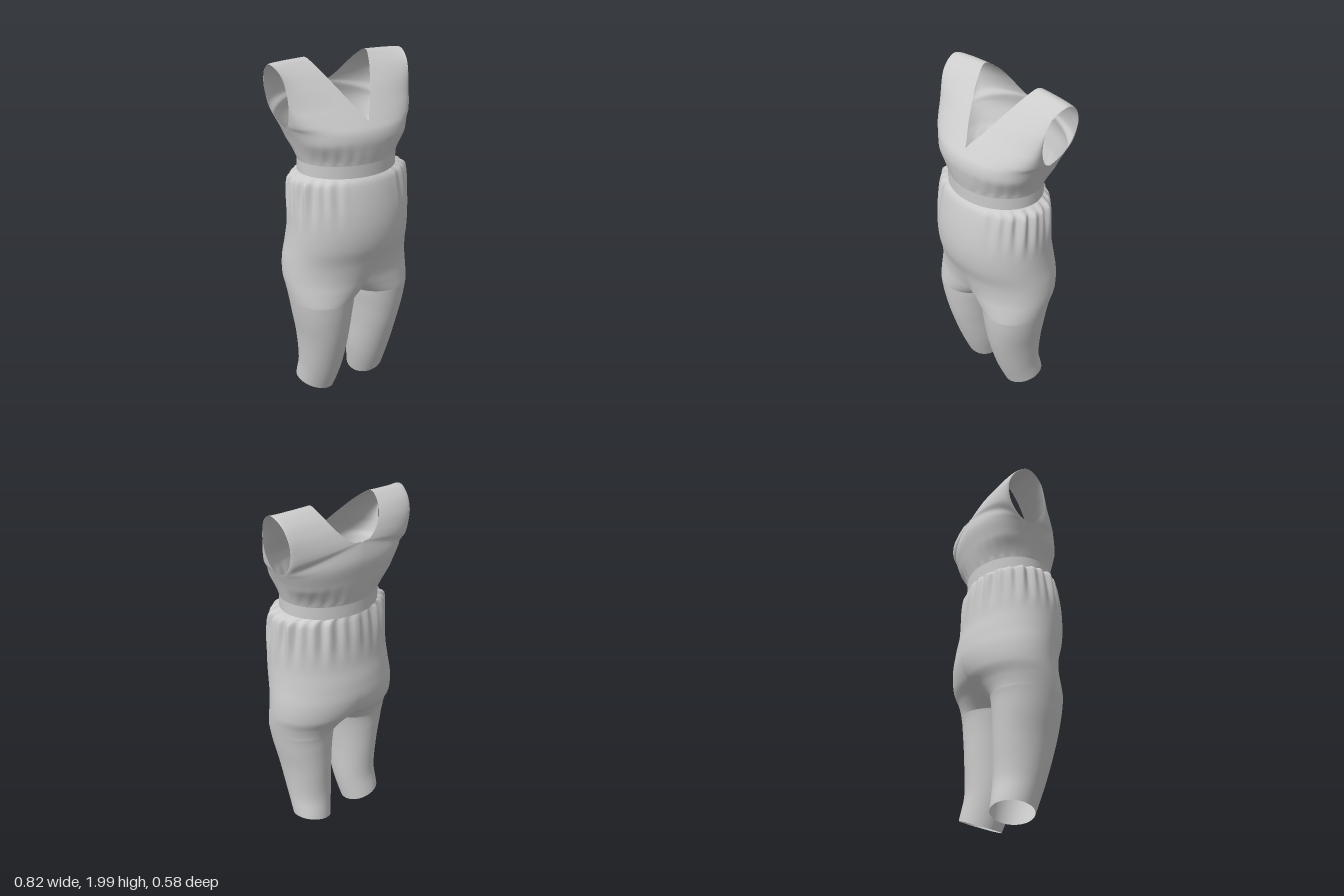
import * as THREE from 'three';
import { mergeVertices } from 'three/addons/utils/BufferGeometryUtils.js';

const V = (x, y, z) => new THREE.Vector3(x, y, z);
const { lerp, clamp, smoothstep: step } = THREE.MathUtils;
const material = new THREE.MeshStandardMaterial({ color: 0xcccccc, side: THREE.DoubleSide });

// Grid of points for the +x half, mirrored to -x and welded into one smooth surface
function mirroredSurface(name, rows, cols, point) {
  const pos = [], index = [];
  for (const side of [1, -1]) {
    const base = pos.length / 3;
    for (let i = 0; i <= rows; i++) {
      for (let j = 0; j <= cols; j++) {
        const p = point(i / rows, j / cols);
        pos.push(side * Math.max(0, p.x), p.y, p.z);
      }
    }
    for (let i = 0; i < rows; i++) {
      for (let j = 0; j < cols; j++) {
        const a = base + i * (cols + 1) + j, b = a + 1, c = a + cols + 1, d = c + 1;
        if (side > 0) index.push(a, b, d, a, d, c);
        else index.push(a, d, b, a, c, d);
      }
    }
  }
  let geo = new THREE.BufferGeometry();
  geo.setAttribute('position', new THREE.Float32BufferAttribute(pos, 3));
  geo.setIndex(index);
  geo = mergeVertices(geo, 1e-4);
  geo.computeVertexNormals();
  const mesh = new THREE.Mesh(geo, material);
  mesh.name = name;
  return mesh;
}

// Smooth lookup in a table of keys sorted by their first column
function sample(keys, y) {
  let k = 0;
  while (k < keys.length - 2 && y > keys[k + 1][0]) k++;
  const A = keys[k], B = keys[k + 1], P = keys[k - 1] || A, N = keys[k + 2] || B;
  const h = B[0] - A[0], t = (y - A[0]) / h;
  return A.slice(1).map((a, n) => {
    const c = n + 1, b = B[c];
    const m0 = (b - P[c]) / (B[0] - P[0]) * h, m1 = (N[c] - a) / (N[0] - A[0]) * h;
    const t2 = t * t, t3 = t2 * t;
    return (2 * t3 - 3 * t2 + 1) * a + (t3 - 2 * t2 + t) * m0 + (3 * t2 - 2 * t3) * b + (t3 - t2) * m1;
  });
}

// Trousers: height, outer x, inner leg x, front z, back z
const CROTCH = 0.66, HEM = 0.038, TOP = 1.405;
const trouserKeys = [
  [0.038, 0.3, 0.075, 0.045, -0.185],
  [0.2, 0.303, 0.043, 0.115, -0.162],
  [0.4, 0.325, 0.03, 0.175, -0.165],
  [0.55, 0.355, 0.016, 0.203, -0.17],
  [0.66, 0.374, 0, 0.214, -0.18],
  [0.73, 0.384, 0, 0.217, -0.21],
  [0.8, 0.39, 0, 0.222, -0.258],
  [0.9, 0.386, 0, 0.245, -0.285],
  [1.0, 0.374, 0, 0.278, -0.28],
  [1.1, 0.366, 0, 0.29, -0.262],
  [1.2, 0.362, 0, 0.285, -0.252],
  [1.3, 0.354, 0, 0.268, -0.243],
  [1.37, 0.344, 0, 0.25, -0.232],
  [1.39, 0.33, 0, 0.24, -0.226],
  [1.405, 0.286, 0, 0.226, -0.222],
];

function trouserPoint(u, v) {
  const y = u < 0.4 ? lerp(HEM, CROTCH, u / 0.4)
    : CROTCH + (TOP - CROTCH) * Math.pow((u - 0.4) / 0.6, 1.4);
  const [outer, inner, front, back] = sample(trouserKeys, y);
  const cz = (front + back) / 2, b = (front - back) / 2;
  // a closed leg ring that opens at the crotch seam into a half ring round the hips
  const t = clamp((y - CROTCH) / 0.32, 0, 1);
  const open = Math.PI / 2 * Math.sqrt(1 - (1 - t) * (1 - t));
  const psi = lerp(open, 2 * Math.PI - open, v);
  const xi = Math.max(0, inner);
  const a = (outer - xi) / (1 + Math.cos(open));
  // gathers under the waistband, fading downwards and at centre front
  const phi = Math.PI * v;
  const fade = step(y, 1.1, 1.37) * (1 - step(y, 1.385, TOP)) * step(v, 0.1, 0.3);
  const fold = 1 + 0.028 * fade * (Math.cos(phi * 26) + 0.6 * Math.sin(phi * 17));
  // slanted hem
  const low = 1 - step(y, HEM, 0.25);
  const dy = low * (-0.03 * Math.cos(psi) - 0.02 * Math.sin(psi));
  return V((outer - a - a * Math.cos(psi)) * fold, y + dy, cz + b * Math.sin(psi) * fold);
}

// Bodice: rows run up the front, over the shoulder and down the back
const innerEdge = [
  [0, 1.47, 0.228], [0, 1.54, 0.24], [0, 1.6, 0.245], [0, 1.645, 0.235], [0, 1.69, 0.205],
  [0.06, 1.78, 0.13], [0.11, 1.86, 0.06], [0.165, 1.95, -0.03], [0.192, 1.992, -0.1],
  [0.178, 1.955, -0.17], [0.145, 1.9, -0.22], [0.1, 1.85, -0.248], [0.05, 1.817, -0.262], [0, 1.806, -0.266],
  [0, 1.72, -0.28], [0, 1.62, -0.265], [0, 1.54, -0.248], [0, 1.47, -0.23],
];
const outerEdge = [
  [0.286, 1.47, 0], [0.308, 1.54, -0.01], [0.33, 1.6, -0.025], [0.352, 1.65, -0.045], [0.364, 1.68, 0.0],
  [0.376, 1.75, 0.034], [0.386, 1.85, 0.038], [0.398, 1.94, 0.0], [0.412, 1.982, -0.08],
  [0.402, 1.945, -0.15], [0.39, 1.87, -0.188], [0.38, 1.8, -0.184], [0.372, 1.74, -0.16], [0.362, 1.685, -0.11],
  [0.352, 1.65, -0.045], [0.33, 1.6, -0.025], [0.308, 1.54, -0.01], [0.286, 1.47, 0],
];
const curve = (pts) => new THREE.CatmullRomCurve3(pts.map((p) => V(...p)));
const innerCurve = curve(innerEdge), outerCurve = curve(outerEdge);

function bodicePoint(u, v) {
  const a = innerCurve.getPoint(u), b = outerCurve.getPoint(u);
  const s = Math.sin(v * Math.PI / 2), c = Math.max(0, Math.cos(v * Math.PI / 2));
  const y = lerp(a.y, b.y, v);
  // fuller across the bust and shoulder blades
  const full = 1 - 0.35 * step(a.y, 1.48, 1.6) * (1 - step(a.y, 1.75, 1.9));
  // small gathers above the waistband
  const fold = 0.006 * step(y, 1.47, 1.5) * (1 - step(y, 1.5, 1.62)) * Math.cos(v * 40) * s * c;
  const z = b.z + (a.z - b.z) * Math.pow(c, full);
  return V(lerp(Math.max(0, a.x), b.x, s), y, z + fold * Math.sign(a.z));
}

// Waistband: flat half ring, mirrored
function bandPoint(u, v) {
  const phi = Math.PI * v;
  return V(0.287 * Math.sin(phi), lerp(1.398, 1.472, u), 0.229 * Math.cos(phi));
}

export function createModel() {
  const group = new THREE.Group();
  group.name = 'sleevelessJumpsuit';
  group.add(
    mirroredSurface('trousers', 120, 120, trouserPoint),
    mirroredSurface('waistband', 4, 60, bandPoint),
    mirroredSurface('bodice', 136, 40, bodicePoint),
  );
  return group;
}
